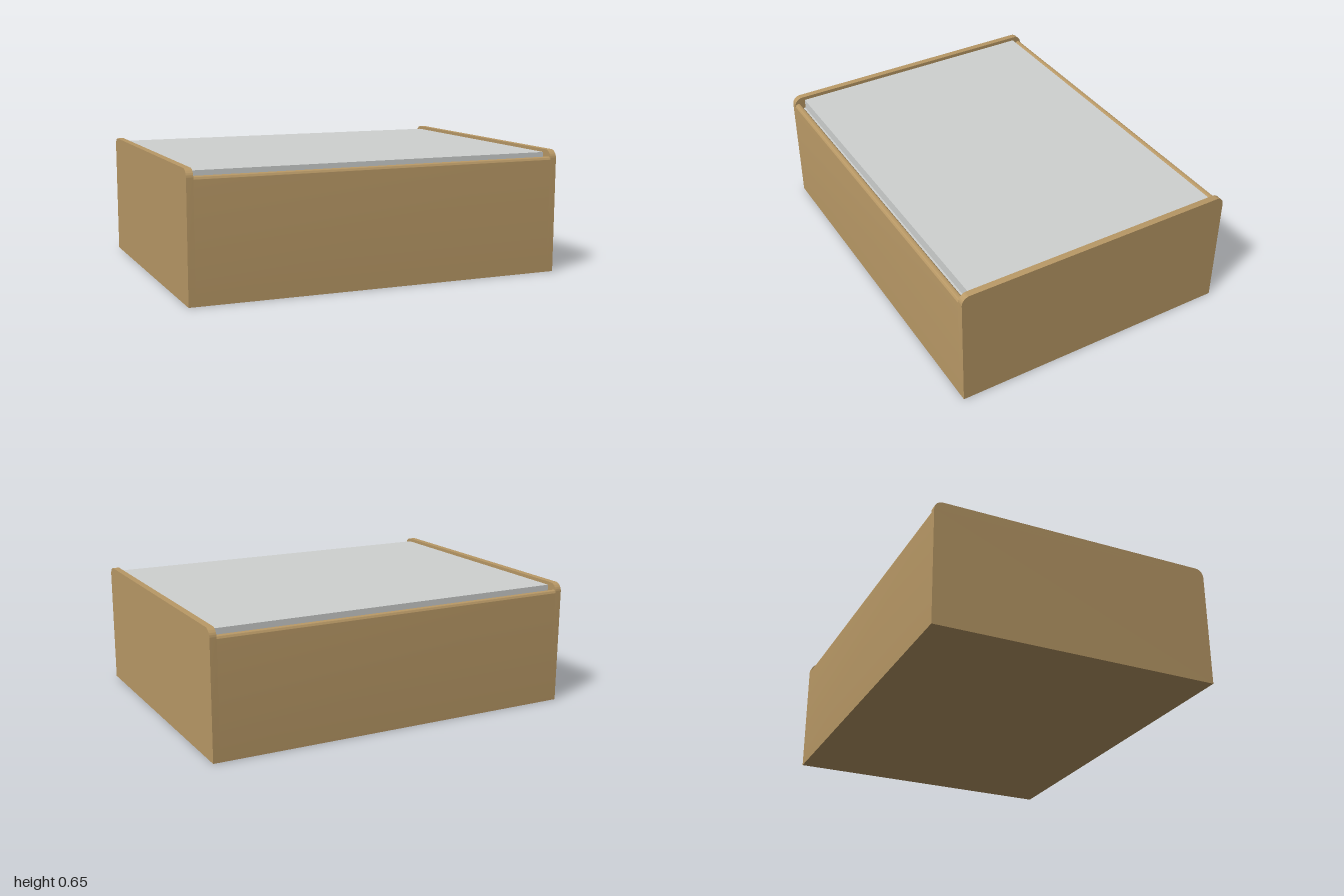
import * as THREE from 'three';
import { toCreasedNormals } from 'three/addons/utils/BufferGeometryUtils.js';

const HALF_X = 1, HALF_Z = 0.757, WALL = 0.035;

// Upright panel with rounded upper corners: profile in z/y, extruded along x and centred
function roundedPanel(width, height, radius, length) {
  const w = width / 2, r = radius;
  const s = new THREE.Shape();
  s.moveTo(-w, 0);
  s.lineTo(w, 0);
  s.lineTo(w, height - r);
  s.absarc(w - r, height - r, r, 0, Math.PI / 2, false);
  s.absarc(-w + r, height - r, r, Math.PI / 2, Math.PI, false);
  s.closePath();
  const g = new THREE.ExtrudeGeometry(s, { depth: length, bevelEnabled: false, curveSegments: 10 });
  g.translate(0, 0, -length / 2).rotateY(Math.PI / 2);
  return toCreasedNormals(g, 0.6);
}

export function createModel() {
  const group = new THREE.Group();
  const wood = new THREE.MeshStandardMaterial({ color: 0xb99966 });
  wood.name = 'wood';
  const grey = new THREE.MeshStandardMaterial({ color: 0xcfd1d0 });
  grey.name = 'pale grey';

  const add = (name, geometry, material, x, y, z) => {
    const mesh = new THREE.Mesh(geometry, material);
    mesh.name = name;
    mesh.position.set(x, y, z);
    group.add(mesh);
  };

  // Tall side panels, and lower front and back panels with round top edges
  const side = roundedPanel(HALF_Z * 2, 0.65, 0.045, WALL);
  const cross = roundedPanel(WALL, 0.615, 0.0174, (HALF_X - WALL) * 2);
  for (const s of [1, -1]) {
    add(s > 0 ? 'leftPanel' : 'rightPanel', side, wood, s * (HALF_X - WALL / 2), 0, 0);
    add(s > 0 ? 'frontPanel' : 'backPanel', cross, wood, 0, 0, s * (HALF_Z - WALL / 2));
  }

  // Bottom board between the panels
  const innerX = (HALF_X - WALL) * 2, innerZ = (HALF_Z - WALL) * 2;
  add('bottomBoard', new THREE.BoxGeometry(innerX, WALL, innerZ), wood, 0, WALL / 2, 0);

  // Grey inner tray with the raised lid resting on it
  add('innerTray', new THREE.BoxGeometry(innerX, 0.02, innerZ), grey, 0, 0.57, 0);
  add('lid', new THREE.BoxGeometry(1.916, 0.055, 1.4), grey, 0, 0.6075, 0);

  return group;
}
